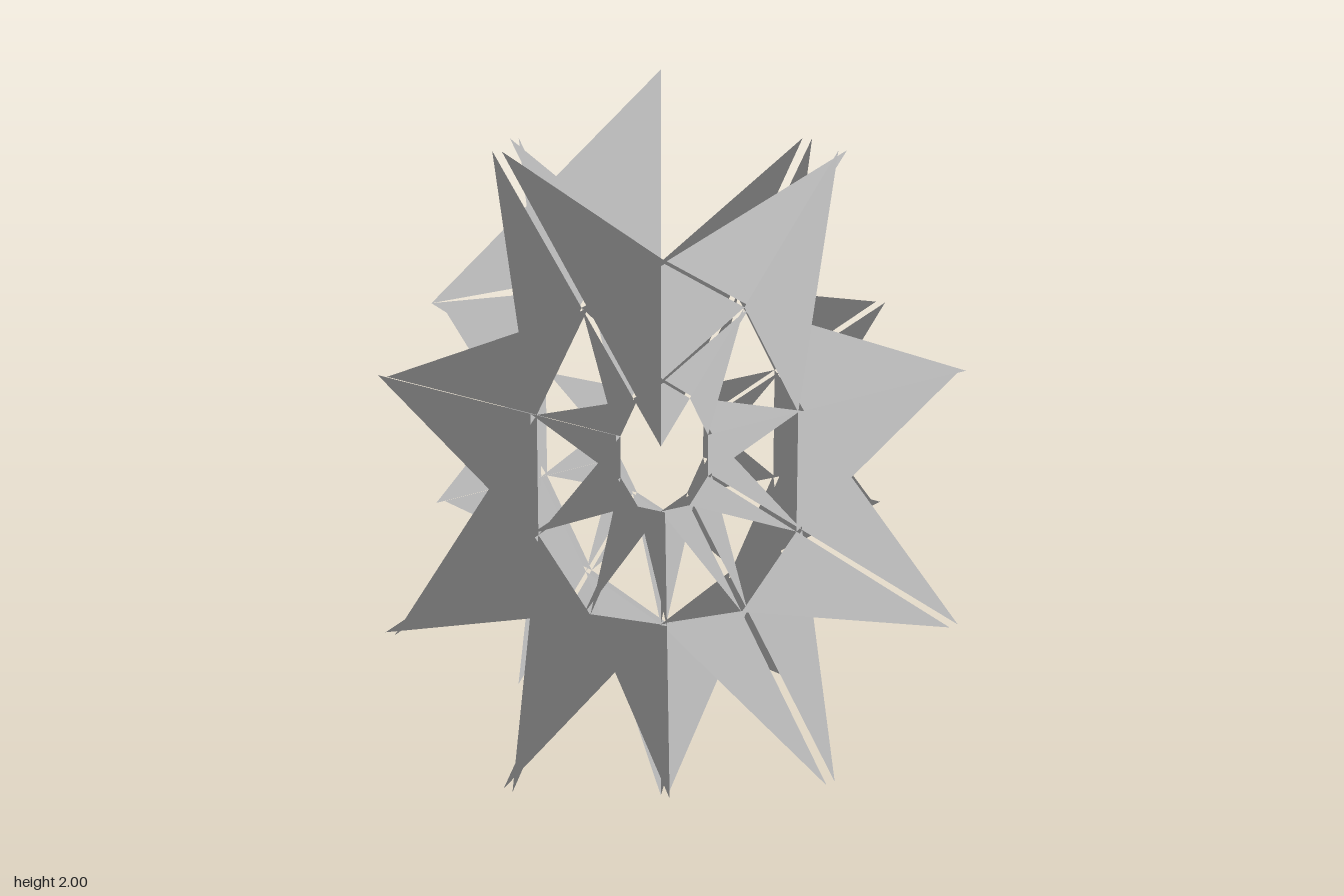
import * as THREE from 'three';

const CENTRE_Y = 1;
const STEP = Math.PI / 5; // ten points per star
const OUTER = 1, MIDDLE = 0.5, INNER = 0.18;

// Point on a ring: step 0 is straight up, steps run counter-clockwise.
// The back layer leans slightly away as the radius grows.
function ringPoint(radius, step, back = false) {
  const a = Math.PI / 2 + step * STEP;
  return new THREE.Vector3(
    radius * Math.cos(a),
    radius * Math.sin(a),
    back ? -(0.012 + 0.022 * radius) : 0
  );
}

// Mesh from a list of separate flat triangles
function facets(name, triangles, material) {
  const geometry = new THREE.BufferGeometry().setFromPoints(triangles.flat());
  geometry.computeVertexNormals();
  const mesh = new THREE.Mesh(geometry, material);
  mesh.name = name;
  return mesh;
}

// Ring of split spikes; the top spike is left out
function spikeRing(name, tipRadius, baseRadius, material) {
  const ring = new THREE.Group();
  ring.name = name;
  for (let i = 1; i < 10; i++) {
    const spike = new THREE.Group();
    spike.name = 'spike';
    // clockwise half lies in the front layer, the other half in the back layer
    spike.add(
      facets('frontHalf', [[
        ringPoint(tipRadius, i), ringPoint(baseRadius, i), ringPoint(baseRadius, i - 1),
      ]], material),
      facets('backHalf', [[
        ringPoint(tipRadius, i, true), ringPoint(baseRadius, i + 1, true), ringPoint(baseRadius, i, true),
      ]], material)
    );
    ring.add(spike);
  }
  return ring;
}

function flatStar(name, material) {
  const star = new THREE.Group();
  star.name = name;
  star.add(spikeRing('outerSpikes', OUTER, MIDDLE, material));
  star.add(spikeRing('innerSpikes', MIDDLE, INNER, material));

  // Filled panel at the top and the small point reaching the centre
  const top = ringPoint(MIDDLE, 0), low = ringPoint(INNER, 0);
  const centre = new THREE.Vector3();
  star.add(facets('topPanel', [
    [top, ringPoint(MIDDLE, 1), low],
    [top, low, ringPoint(MIDDLE, -1)],
  ], material));
  star.add(facets('centrePoint', [
    [low, ringPoint(INNER, 1), centre],
    [low, centre, ringPoint(INNER, -1)],
  ], material));
  return star;
}

export function createModel() {
  const grey = new THREE.MeshStandardMaterial({ color: 0xcccccc });
  grey.name = 'light grey';
  grey.side = THREE.DoubleSide;

  const model = new THREE.Group();
  model.name = 'crossedStars';

  // Star facing the front, with one large sail between two tips
  const frontStar = flatStar('frontStar', grey);
  frontStar.add(facets('sail', [[
    ringPoint(OUTER, 0), ringPoint(OUTER, 2), ringPoint(MIDDLE, 0),
  ]], grey));

  // Second star crossing it at a right angle
  const sideStar = flatStar('sideStar', grey);
  sideStar.rotation.y = -Math.PI / 2;

  for (const star of [frontStar, sideStar]) {
    star.position.y = CENTRE_Y;
    model.add(star);
  }
  return model;
}
